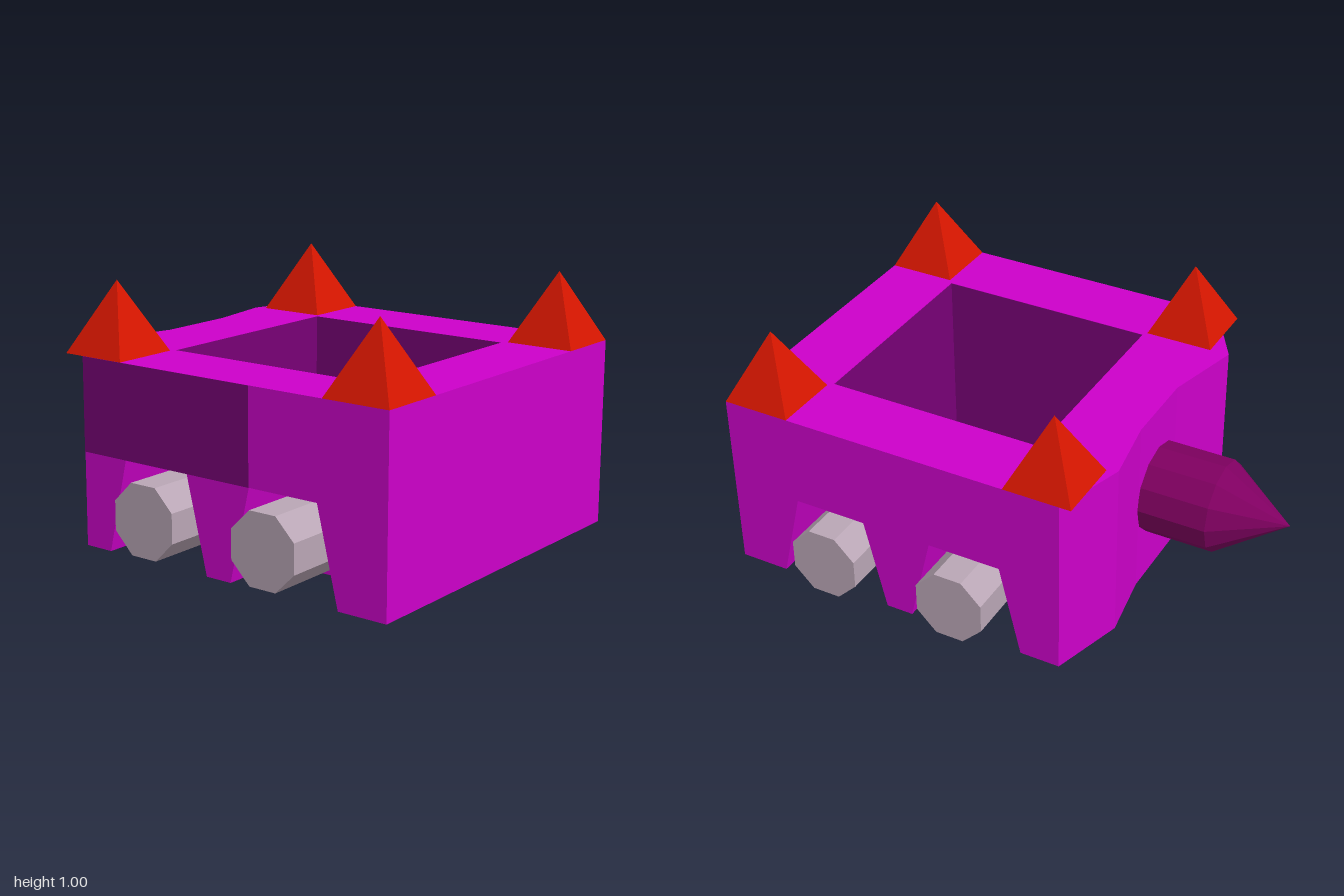
import * as THREE from 'three';

const mat = (name, color) => {
  const m = new THREE.MeshStandardMaterial({ color, flatShading: true });
  m.name = name;
  return m;
};

export function createModel() {
  const root = new THREE.Group();
  const magenta = mat('magenta', 0xcc00c9);
  const purple = mat('darkPurple', 0x780076);
  const red = mat('red', 0xd51600);
  const plum = mat('plum', 0x7f0060);
  const grey = mat('grey', 0xb9a6b5);

  const add = (name, geo, material, x = 0, y = 0, z = 0) => {
    const mesh = new THREE.Mesh(geo, material);
    mesh.name = name;
    mesh.position.set(x, y, z);
    root.add(mesh);
    return mesh;
  };
  // Extrude a list of [a, b] points
  const prism = (points, depth) => new THREE.ExtrudeGeometry(
    new THREE.Shape(points.map(([a, b]) => new THREE.Vector2(a, b))),
    { depth, bevelEnabled: false });

  const H = 0.728, W = 0.728, IN = 0.437, ARCH = 0.365;
  const Z0 = -0.172, Z1 = 0.71; // courtyard ends

  // Side walls, with two tapered wheel arches cut from the lower edge
  const sideProfile = [
    [-0.3, 0], [-0.25, 0], [-0.165, ARCH], [0.13, ARCH], [0.22, 0],
    [0.33, 0], [0.415, ARCH], [0.71, ARCH], [0.8, 0], [1, 0], [1, H], [-0.3, H],
  ].map(([z, y]) => [-z, y]);
  for (const s of [-1, 1]) {
    const wall = prism(sideProfile, W - IN);
    wall.rotateY(Math.PI / 2);
    add('sideWall', wall, magenta, s > 0 ? IN : -W);
    // Closes the inner end of the arches, flush with the courtyard wall
    for (const z of [-0.015, 0.565])
      add('archBack', new THREE.BoxGeometry(0.006, ARCH, 0.47), magenta,
        s * (IN + 0.003), ARCH / 2, z);
  }

  // Front wall and floor of the courtyard
  add('frontWall', new THREE.BoxGeometry(IN * 2, H, 1 - Z1), magenta, 0, H / 2, (1 + Z1) / 2);
  add('floor', new THREE.BoxGeometry(IN * 2, 0.01, 0.9), magenta, 0, 0.005, 0.27);

  // Back wall with an uneven, bulging outer face
  const backPlan = [
    [-W, -0.3], [-IN, -0.3], [-IN, Z0], [IN, Z0], [IN, -0.3], [W, -0.3],
    [W, -0.41], [0.44, -0.497], [0.17, -0.455], [-0.15, -0.455],
    [-0.46, -0.533], [-W, -0.37],
  ].map(([x, z]) => [x, -z]);
  const back = prism(backPlan, H);
  back.rotateX(-Math.PI / 2);
  add('backWall', back, magenta);

  // Dark faces lining the courtyard, and a dark panel on the right outer wall
  const face = (name, width, height, turn, x, y, z) =>
    { add(name, new THREE.PlaneGeometry(width, height), purple, x, y, z).rotation.y = turn; };
  const E = 0.002;
  face('courtyardBack', IN * 2, H, 0, 0, H / 2, Z0 + E);
  face('courtyardFront', IN * 2, H, Math.PI, 0, H / 2, Z1 - E);
  for (const s of [-1, 1])
    face('courtyardSide', Z1 - Z0, H, -s * Math.PI / 2, s * (IN - E), H / 2, (Z0 + Z1) / 2);
  face('outerPanel', 0.785, H - ARCH, -Math.PI / 2, -W - E, (H + ARCH) / 2, 0.0225);

  // Pyramid roofs on the four corners
  const roof = new THREE.ConeGeometry(0.136 * Math.SQRT2, 0.272, 4);
  roof.rotateY(Math.PI / 4);
  for (const x of [-0.592, 0.592])
    for (const z of [-0.32, 0.864]) add('cornerRoof', roof, red, x, H + 0.136, z);

  // Octagonal wheels
  const wheel = new THREE.CylinderGeometry(0.148, 0.148, 0.376, 8);
  wheel.rotateY(Math.PI / 8);
  wheel.rotateZ(Math.PI / 2);
  for (const s of [-1, 1])
    for (const z of [0, 0.546]) add('wheel', wheel, grey, s * 0.63, 0.183, z);

  // Ram: a round shaft and pointed tip on the back wall
  const ram = new THREE.LatheGeometry([
    [0, 0.4], [0.182, 0.4], [0.182, 0.73], [0, 1],
  ].map(([r, y]) => new THREE.Vector2(r, y)), 12);
  ram.rotateX(-Math.PI / 2);
  add('ram', ram, plum, 0, 0.365, 0);

  return root;
}
